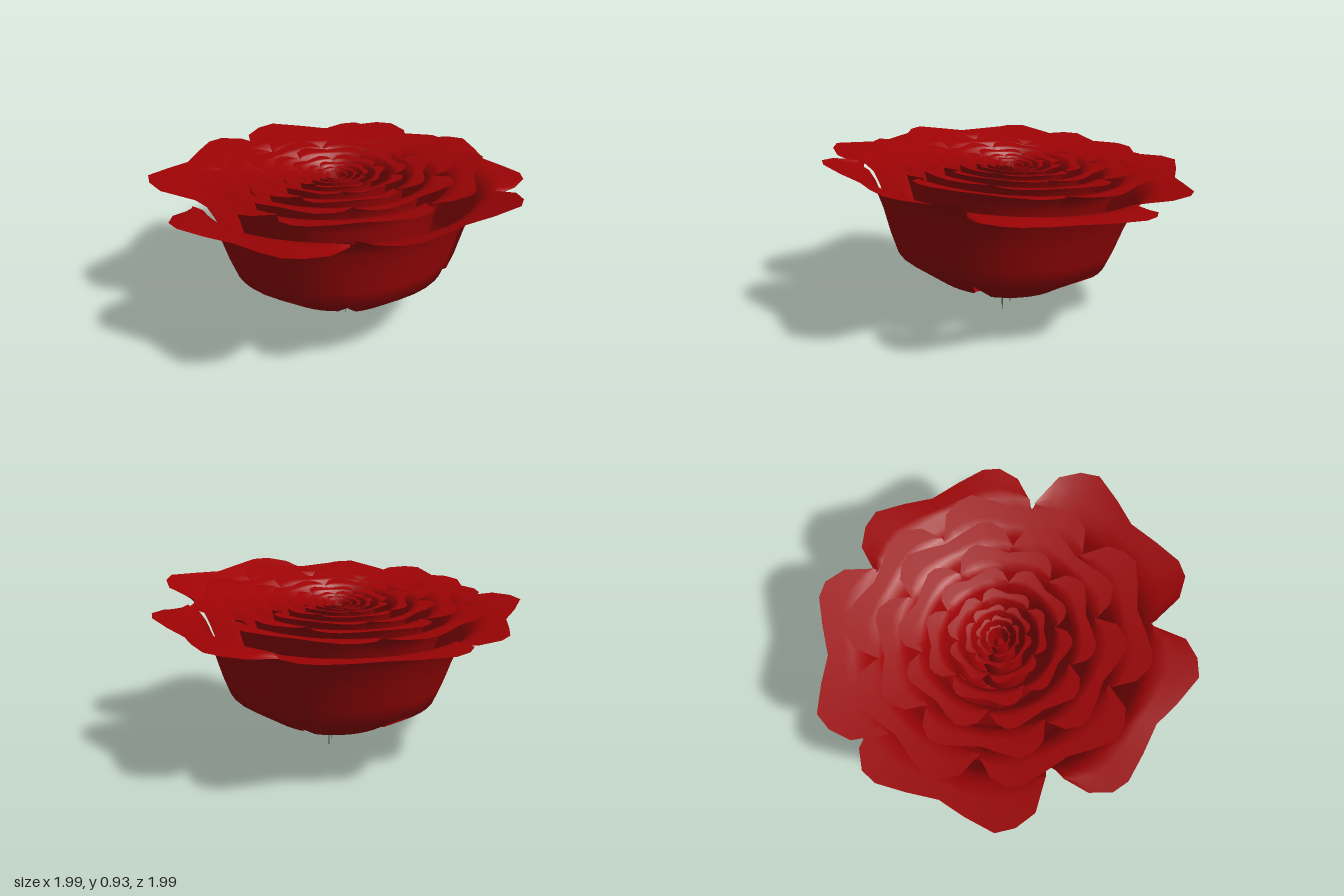
import * as THREE from 'three';

const petalRed = new THREE.MeshStandardMaterial({ color: 0x9e0305, side: THREE.DoubleSide });
petalRed.name = 'petal red';
const stemGreen = new THREE.MeshStandardMaterial({ color: 0x56634c, side: THREE.DoubleSide });
stemGreen.name = 'stem green';

// Cup of one petal, base to lip: radius, height, half-width as a share of 36 degrees
const CUP = [
  [0.11, 0.125, 0.15], [0.22, 0.155, 0.45], [0.36, 0.205, 0.82], [0.57, 0.34, 1.05],
  [0.61, 0.44, 1.1], [0.655, 0.58, 1.1], [0.70, 0.69, 1.08], [0.735, 0.75, 1.04], [0.79, 0.788, 1],
];
// Two-lobed tip: position across the petal, radius
const TIP = [
  [-1, 0.79], [-0.83, 0.96], [-0.66, 1.02], [-0.5, 1.04], [-0.25, 0.97], [0, 0.915],
  [0.28, 0.945], [0.53, 0.99], [0.68, 0.985], [0.85, 0.92], [1, 0.79],
];
const LIP_STEPS = 3;
const HALF = THREE.MathUtils.degToRad(36);
const PIVOT = 0.8;

// Each ring: size, height of the cup edge, petals as angle, droop of the lip, reach of the lip
const spread = (start) => [0, 1, 2, 3, 4].map((k) => [start + 72 * k, 0, 0.95]);
const RINGS = [
  [1.00, 0.788, [[20.5, 0.03, 0.92], [95, -0.02, 0.97], [168.5, 0.025, 0.97], [246, 0, 1], [310, 0, 1]]],
  [0.80, 0.835, spread(54)],
  [0.65, 0.845, spread(18)],
  [0.51, 0.85, spread(52)],
  [0.38, 0.85, spread(20)],
  [0.26, 0.845, spread(58)],
  [0.175, 0.84, spread(25)],
  [0.115, 0.835, spread(60)],
  [0.065, 0.83, spread(30)],
];

// Grid of cup rows followed by lip rows that reach out to the lobed tip
function petalGeometry(size, top, [degrees, droop, lipReach]) {
  const centre = THREE.MathUtils.degToRad(degrees);
  const rows = CUP.length + LIP_STEPS;
  const cols = TIP.length;
  const edge = CUP[CUP.length - 1];
  const base = 0.125 + (1 - size) * 0.06;
  const stretch = (top - base) / (edge[1] - 0.125);
  const position = [];
  const index = [];
  for (let i = 0; i < rows; i++) {
    const [cupR, cupY, w] = CUP[Math.min(i, CUP.length - 1)];
    const t = Math.max(0, i - CUP.length + 1) / LIP_STEPS;
    for (const [u, tip] of TIP) {
      const reach = (tip - edge[0]) * t * lipReach;
      // One side tucks under its neighbour
      const r = (cupR + reach) * size * (1 + 0.018 * u);
      const a = centre + u * w * HALF;
      const y = base + (cupY - 0.125) * stretch + reach * 0.2 * size - droop * t;
      position.push(r * Math.cos(a), y, r * Math.sin(a));
    }
  }
  for (let i = 0; i < rows - 1; i++) {
    for (let j = 0; j < cols - 1; j++) {
      const a = i * cols + j;
      const b = a + cols;
      index.push(a, b, a + 1, b, b + 1, a + 1);
    }
  }
  const g = new THREE.BufferGeometry();
  g.setAttribute('position', new THREE.Float32BufferAttribute(position, 3));
  g.setIndex(index);
  g.computeVertexNormals();
  return g;
}

export function createModel() {
  const model = new THREE.Group();
  model.name = 'rose';

  // The bloom leans slightly about the height of its rim
  const bloom = new THREE.Group();
  bloom.name = 'bloom';
  bloom.position.set(-0.015, PIVOT, 0.01);
  bloom.rotation.set(-0.06, 0, -0.04);
  model.add(bloom);

  // Petal rings from the outside in; the inner ones sit a little off centre
  RINGS.forEach(([size, top, petals], i) => {
    const ring = new THREE.Group();
    ring.name = `petalRing${i + 1}`;
    ring.position.set(0, -PIVOT, i === 0 ? 0 : -0.03);
    for (const spec of petals) {
      const petal = new THREE.Mesh(petalGeometry(size, top, spec), petalRed);
      petal.name = 'petal';
      ring.add(petal);
    }
    bloom.add(ring);
  });

  // Tight bud in the middle
  const bud = new THREE.Mesh(new THREE.ConeGeometry(0.03, 0.1, 8), petalRed);
  bud.name = 'bud';
  bud.position.set(0, -0.01, -0.03);
  bloom.add(bud);

  // Broken strands of stem: x, z, lowest point
  const stem = new THREE.Group();
  stem.name = 'stem';
  const strands = [
    [-0.045, 0.01, 0.08], [-0.03, 0.045, 0.06], [-0.015, 0.055, 0], [0, 0.0, 0.08],
    [0.012, 0.02, 0.05], [-0.02, -0.005, 0.08],
  ];
  for (const [x, z, low] of strands) {
    const height = 0.19 - low;
    const strand = new THREE.Mesh(new THREE.CylinderGeometry(0.009, 0.002, height, 5), stemGreen);
    strand.name = 'stemStrand';
    strand.position.set(x, low + height / 2, z);
    stem.add(strand);
  }
  model.add(stem);
  return model;
}
